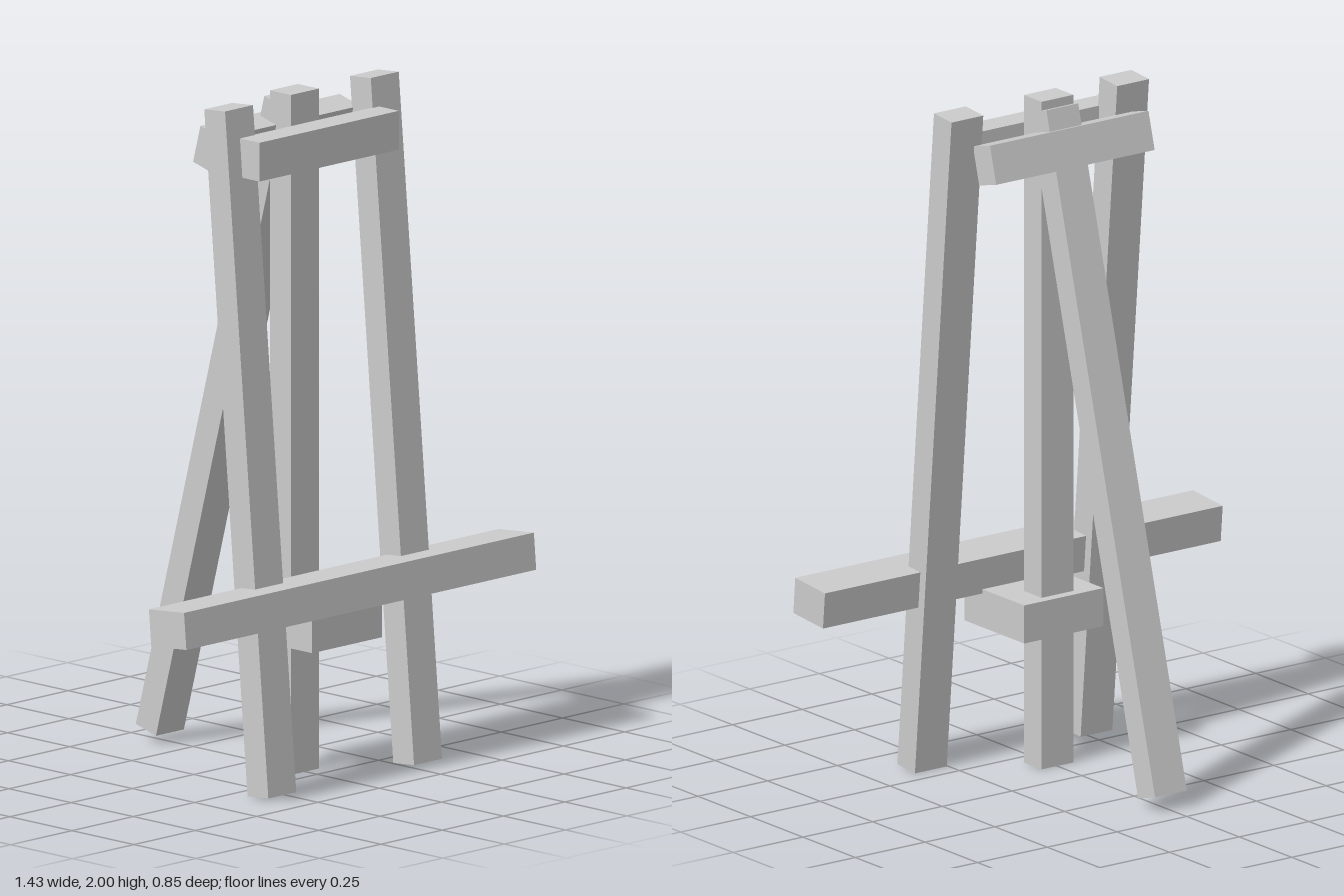
import * as THREE from 'three';

export function createModel() {
  const group = new THREE.Group();
  const material = new THREE.MeshStandardMaterial({ color: 0xcccccc, flatShading: true });

  // A straight wooden bar: size, centre and tilt (degrees) about the x axis
  const bar = (name, size, centre, tilt = 0) => {
    const mesh = new THREE.Mesh(new THREE.BoxGeometry(...size), material);
    mesh.name = name;
    mesh.position.set(...centre);
    mesh.rotation.x = THREE.MathUtils.degToRad(tilt);
    group.add(mesh);
  };

  const W = 0.114; // timber width
  const D = 0.084; // timber thickness

  // Front legs lean back, the rear leg leans forward, the post is upright
  bar('rightFrontLeg', [W, 2, D], [-0.282, 1, 0.259], -5);
  bar('leftFrontLeg', [W, 2, D], [0.312, 1, 0.259], -5);
  bar('centerPost', [W, 2, D], [-0.002, 1, 0.16]);
  bar('rearLeg', [W, 2, D], [-0.002, 1.003, -0.123], 15);

  // Crossbars joining the legs near the top
  bar('frontCrossbar', [0.568, W, D], [-0.002, 1.856, 0.258]);
  bar('rearCrossbar', [0.568, W, D], [-0.002, 1.858, 0.088], 15);

  // Canvas tray and the block that ties it to the post
  bar('tray', [1.426, 0.108, 0.142], [-0.002, 0.561, 0.354], -5);
  bar('trayBlock', [0.284, W, 0.284], [-0.002, 0.457, 0.23]);

  return group;
}
